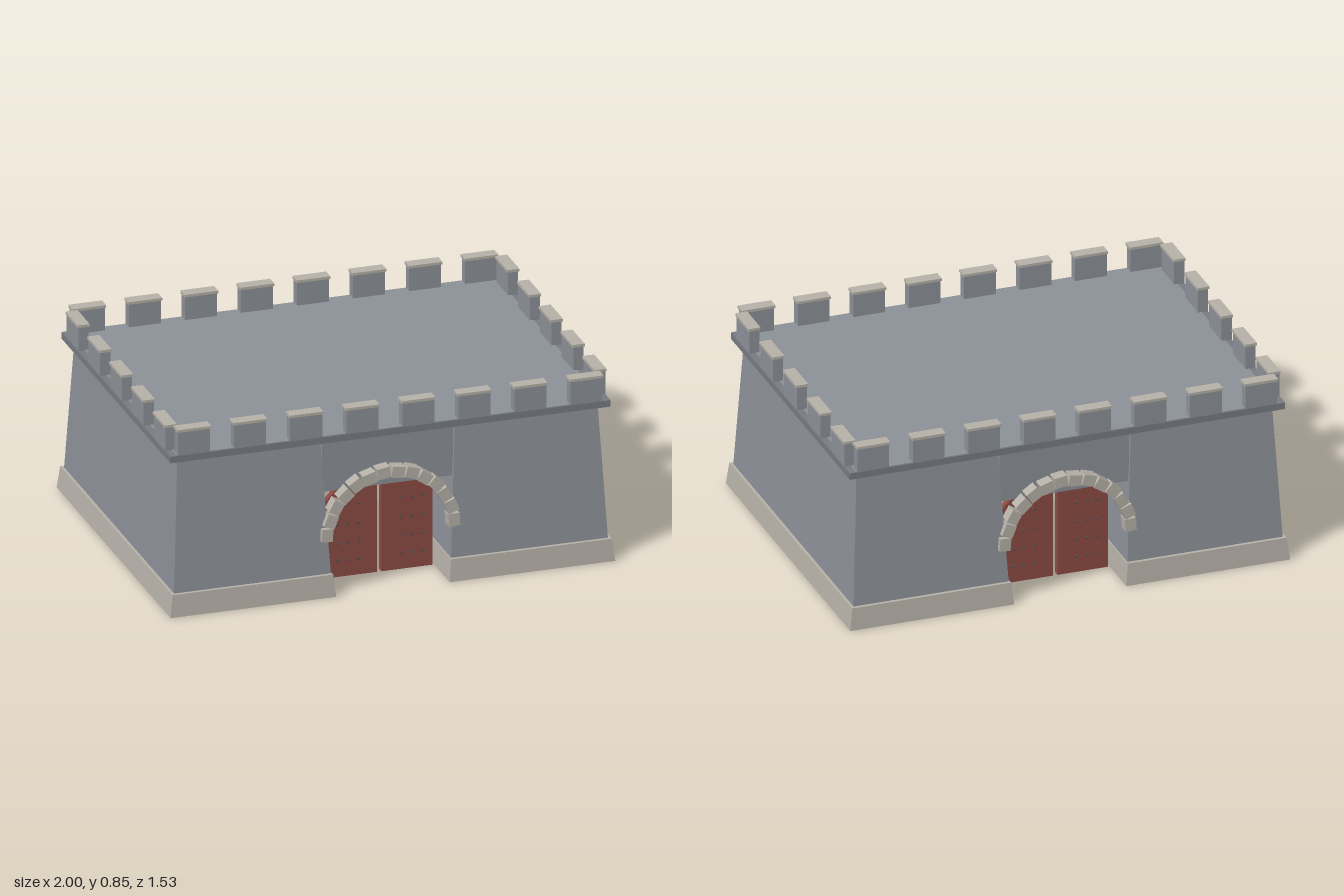
import * as THREE from 'three';

const mat = (name, color) => {
  const m = new THREE.MeshStandardMaterial({ color });
  m.name = name;
  return m;
};

export function createModel() {
  const wallStone = mat('wall stone', 0x8c9097);
  const ledgeStone = mat('ledge stone', 0x777b82);
  const trimStone = mat('trim stone', 0xb5b0a7);
  const doorWood = mat('red door wood', 0x8c4a42);
  const iron = mat('dark iron', 0x55504f);

  const model = new THREE.Group();
  model.name = 'gatehouse';

  const add = (parent, name, geometry, material, x = 0, y = 0, z = 0) => {
    const mesh = new THREE.Mesh(geometry, material);
    mesh.name = name;
    mesh.position.set(x, y, z);
    parent.add(mesh);
    return mesh;
  };
  const box = (w, h, d) => new THREE.BoxGeometry(w, h, d);

  // Block whose x range and z half-depth change from bottom to top
  const taperedBlock = (y0, y1, bottom, top) => {
    const g = box(1, 1, 1);
    const p = g.attributes.position;
    for (let i = 0; i < p.count; i++) {
      const up = p.getY(i) > 0;
      const [xMin, xMax, zHalf] = up ? top : bottom;
      p.setXYZ(i, p.getX(i) > 0 ? xMax : xMin, up ? y1 : y0, Math.sign(p.getZ(i)) * zHalf);
    }
    g.computeVertexNormals();
    return g;
  };

  // Two sloping wall blocks on plinths, either side of the passage
  for (const side of [1, -1]) {
    const span = (a, b, z) => (side > 0 ? [a, b, z] : [-b, -a, z]);
    add(model, 'plinth', taperedBlock(0, 0.1, span(0.255, 1, 0.765), span(0.265, 0.988, 0.754)), trimStone);
    add(model, 'wallBlock', taperedBlock(0.05, 0.705, span(0.2675, 0.978, 0.742), span(0.303, 0.945, 0.69)), wallStone);
  }

  // Flat lintel over the passage
  add(model, 'lintel', box(0.59, 0.245, 1.38), wallStone, 0, 0.5825, 0);

  // Ledge and roof
  add(model, 'ledge', box(1.98, 0.03, 1.46), ledgeStone, 0, 0.715, 0);
  add(model, 'roof', box(1.92, 0.004, 1.45), wallStone, 0, 0.73, 0);

  // Battlements with thin capstones
  const merlon = (x, z, w, d) => {
    const g = new THREE.Group();
    g.name = 'merlon';
    g.position.set(x, 0, z);
    add(g, 'merlonBody', box(w, 0.112, d), wallStone, 0, 0.784, 0);
    add(g, 'capstone', box(w + 0.008, 0.012, d + 0.01), trimStone, 0, 0.844, 0);
    model.add(g);
  };
  for (const side of [1, -1]) {
    for (let i = 0; i < 8; i++) merlon((i - 3.5) * 0.252, side * 0.706, 0.144, 0.046);
    for (let i = 0; i < 5; i++) merlon(side * 0.966, (i - 2) * 0.292, 0.046, 0.156);
  }

  // One leaf with the outer top corner cut off
  const leafShape = new THREE.Shape([
    [0.01, 0.01], [0.24, 0.01], [0.24, 0.365], [0.19, 0.42], [0.01, 0.42],
  ].map(([x, y]) => new THREE.Vector2(x, y)));
  const leafGeometry = new THREE.ExtrudeGeometry(leafShape, { depth: 0.03, bevelEnabled: false });
  const mirrored = leafGeometry.clone().rotateY(Math.PI).translate(0, 0, 0.03);
  const boltGeometry = new THREE.CylinderGeometry(0.006, 0.007, 0.008, 6).rotateX(Math.PI / 2);

  // A gate at each end: arch stones, door leaves and bolts
  for (const turn of [0, Math.PI]) {
    const gate = new THREE.Group();
    gate.name = turn ? 'backGate' : 'frontGate';
    gate.rotation.y = turn;
    model.add(gate);

    const stones = 14;
    for (let i = 0; i < stones; i++) {
      const a = ((i + 0.5) / stones) * Math.PI;
      const r = 0.287 + (i % 2 ? 0.002 : -0.002);
      const stone = add(gate, 'archStone', box(0.05, 0.058, 0.055), trimStone,
        Math.cos(a) * r, 0.245 + Math.sin(a) * r, 0.7175);
      stone.rotation.z = a + (i % 2 ? 0.04 : -0.04);
    }

    for (const side of [1, -1]) {
      add(gate, 'doorLeaf', side > 0 ? leafGeometry : mirrored, doorWood, 0, 0, 0.55);
      for (const x of [0.095, 0.145, 0.19])
        for (const y of [0.085, 0.165, 0.25, 0.34])
          add(gate, 'doorBolt', boltGeometry, iron, side * x, y, 0.583);
    }
  }
  return model;
}
